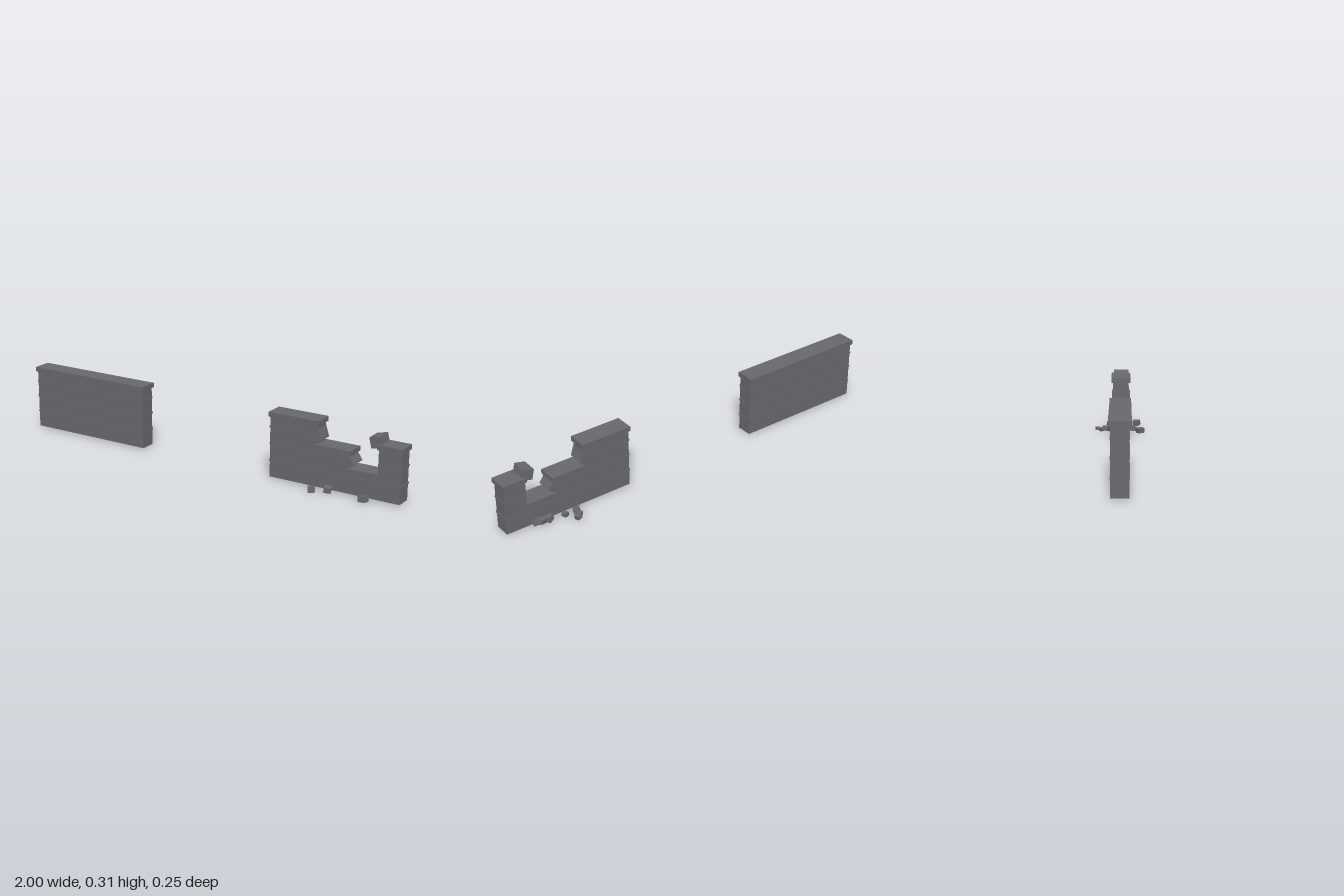
import * as THREE from 'three';

export function createModel() {
  const model = new THREE.Group();
  const stone = new THREE.MeshStandardMaterial({ color: 0x68676d });
  stone.name = 'grey stone';

  const midZ = 0.0055; // centre line of both walls
  const wallDepth = 0.075;
  const capDepth = 0.093;
  const capHeight = 0.022;
  const base = 0.01;

  function block(parent, name, size, position, rotation = [0, 0, 0]) {
    const mesh = new THREE.Mesh(new THREE.BoxGeometry(...size), stone);
    mesh.name = name;
    mesh.position.set(...position);
    mesh.rotation.set(...rotation);
    parent.add(mesh);
    return mesh;
  }

  // Box given by its x and y limits, centred on the wall line
  const slab = (parent, name, x0, x1, y0, y1, depth) =>
    block(parent, name, [x1 - x0, y1 - y0, depth], [(x0 + x1) / 2, (y0 + y1) / 2, midZ]);

  // Thin raised course lines
  const course = (parent, x0, x1, y) =>
    slab(parent, 'courseLine', x0, x1, y - 0.004, y + 0.004, wallDepth + 0.004);

  // Intact wall
  const intact = new THREE.Group();
  intact.name = 'intactWall';
  slab(intact, 'wallBody', -0.994, -0.353, base, 0.294, wallDepth);
  slab(intact, 'copingStone', -1, -0.347, 0.294, 0.316, capDepth);
  for (const y of [0.245, 0.169, 0.089]) course(intact, -0.997, -0.35, y);
  model.add(intact);

  // Broken wall: sections as [x0, x1, top of body, cap x0, cap x1]
  const broken = new THREE.Group();
  broken.name = 'brokenWall';
  const sections = [
    [0.349, 0.588, 0.294, 0.343, 0.595],
    [0.588, 0.748, 0.186, 0.582, 0.754],
    [0.748, 0.883, 0.106, 0.741, 0.888],
    [0.883, 0.99, 0.239, 0.878, 0.996],
  ];
  for (const [x0, x1, top, c0, c1] of sections) {
    slab(broken, 'wallSection', x0, x1, base, top, wallDepth);
    slab(broken, 'copingStone', c0, c1, top, top + capHeight, capDepth);
  }
  course(broken, 0.346, 0.59, 0.245);
  course(broken, 0.346, 0.75, 0.169);
  course(broken, 0.882, 0.993, 0.169);
  course(broken, 0.346, 0.993, 0.089);

  // Tilted stones at the broken edges and one resting by the pillar
  block(broken, 'brokenEdgeStone', [0.06, 0.06, 0.077], [0.567, 0.245, midZ], [0, 0, 0.3]);
  block(broken, 'brokenEdgeStone', [0.055, 0.055, 0.077], [0.733, 0.155, midZ], [0, 0, 0.6]);
  block(broken, 'looseStone', [0.052, 0.05, 0.076], [0.867, 0.267, midZ], [0, 0, 0.23]);
  model.add(broken);

  // Fallen rubble: [x, z, size, turn]
  const rubble = new THREE.Group();
  rubble.name = 'rubble';
  const stones = [
    [0.596, 0.103, 0.033, 0.5],
    [0.656, 0.065, 0.032, 0.35],
    [0.839, 0.086, 0.034, -0.25],
    [0.679, -0.112, 0.024, 0.2],
    [0.659, -0.094, 0.022, 0.6],
    [0.66, -0.07, 0.031, -0.5],
    [0.713, -0.06, 0.024, 0.3],
    [0.79, -0.048, 0.032, 0.5],
    [0.82, -0.042, 0.03, 0.15],
    [0.846, -0.036, 0.034, -0.35],
  ];
  stones.forEach(([x, z, s, turn], i) => {
    const tilt = i % 2 ? 0.14 : -0.1;
    block(rubble, 'rubbleStone', [s, s * 0.75, s], [x, 0.004 + s * 0.48, z], [tilt, turn, -tilt]);
  });
  model.add(rubble);

  return model;
}
